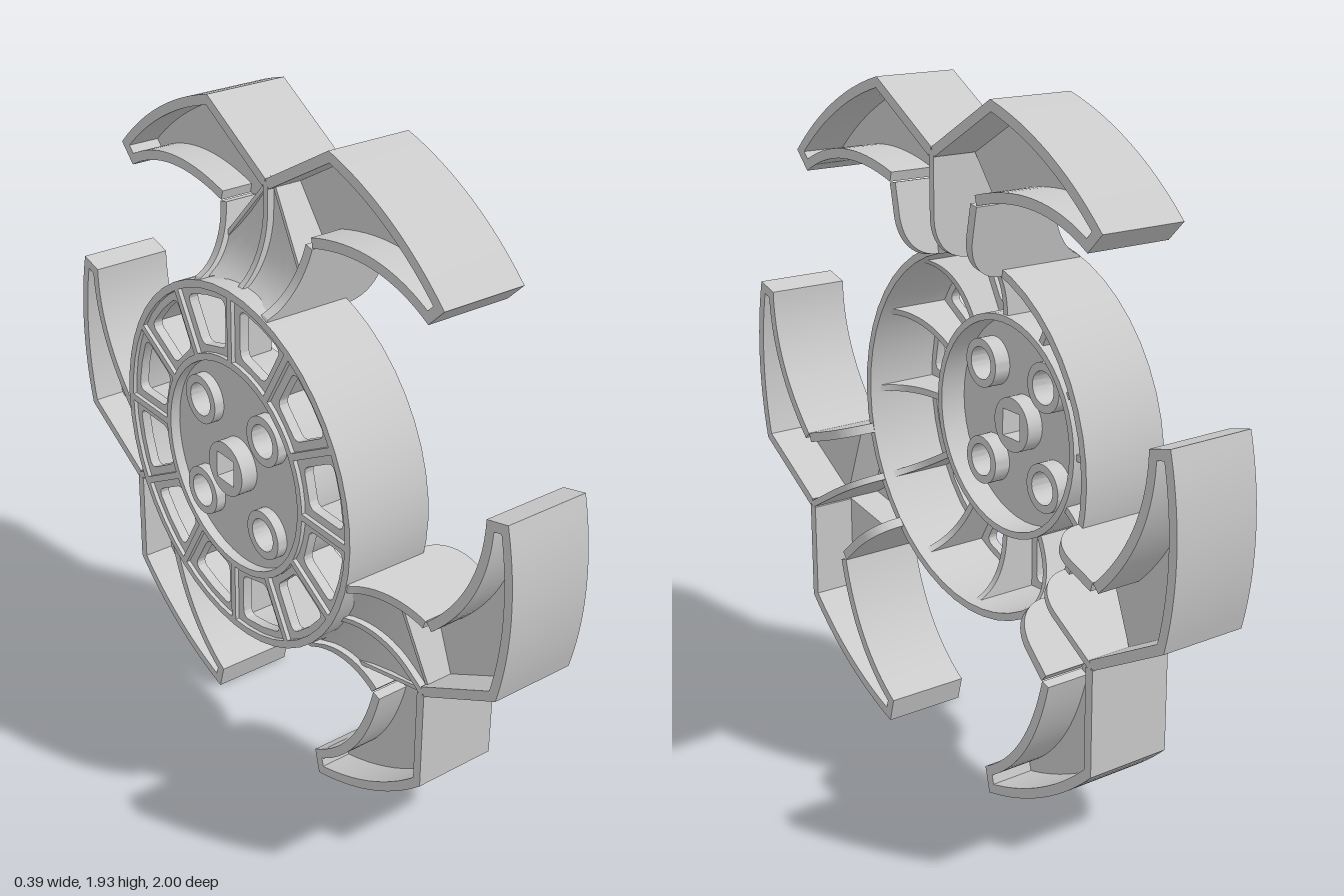
import * as THREE from 'three';
import { toCreasedNormals } from 'three/addons/utils/BufferGeometryUtils.js';

const material = new THREE.MeshStandardMaterial({ color: 0xcccccc });
const openMaterial = new THREE.MeshStandardMaterial({ color: 0xcccccc, side: THREE.DoubleSide });
const V = (x, y) => new THREE.Vector2(x, y);
const polar = (r, a) => V(r * Math.cos(a), r * Math.sin(a));
const T = 0.028; // wall thickness

function add(parent, name, geometry, mat = material) {
  const mesh = new THREE.Mesh(toCreasedNormals(geometry, 0.5), mat);
  mesh.name = name;
  parent.add(mesh);
  return mesh;
}

// Flat shape in the wheel plane, extruded along the axle from z0 to z1
function slab(shape, z0, z1) {
  return new THREE.ExtrudeGeometry(shape, { depth: z1 - z0, bevelEnabled: false, curveSegments: 24 }).translate(0, 0, z0);
}

function disc(r, holes = []) {
  const s = new THREE.Shape().absarc(0, 0, r, 0, Math.PI * 2, false);
  s.holes.push(...holes);
  return s;
}

const circle = (r, x = 0, y = 0) => new THREE.Path().absarc(x, y, r, 0, Math.PI * 2, true);

// Upright plate: shape is (distance from p0 towards p1, height along the axle)
function plate(shape, p0, p1, t = T) {
  const d = p1.clone().sub(p0).normalize();
  const m = new THREE.Matrix4().makeBasis(
    new THREE.Vector3(d.x, d.y, 0), new THREE.Vector3(0, 0, 1), new THREE.Vector3(d.y, -d.x, 0));
  m.setPosition(p0.x, p0.y, 0);
  return slab(shape, -t / 2, t / 2).applyMatrix4(m);
}

// Offsets a polyline to its right with mitred corners
function offset(points, t) {
  return points.map((p, i) => {
    const a = points[Math.max(i - 1, 0)], b = points[Math.min(i + 1, points.length - 1)];
    const n1 = (i ? p.clone().sub(a) : b.clone().sub(p)).normalize();
    const n2 = (i < points.length - 1 ? b.clone().sub(p) : p.clone().sub(a)).normalize();
    const u = V(n1.y, -n1.x), w = V(n2.y, -n2.x);
    return p.clone().add(u.clone().add(w).multiplyScalar(t / (1 + u.dot(w))));
  });
}

// Half of a blade pair: apex, shoulder, outer arc, tip, hooked inner arc
function bladeOutline() {
  const pts = [V(0, 0.812)];
  for (let i = 0; i <= 12; i++) pts.push(polar(1, THREE.MathUtils.degToRad(74.8 - 29.8 * i / 12)));
  const inner = new THREE.QuadraticBezierCurve(V(0.653, 0.653), V(0.46, 0.765), V(0.203, 0.69));
  return pts.concat(inner.getPoints(16));
}

// Axle height of the flared blade root at a radius
function flare(r) {
  const k = THREE.MathUtils.clamp((0.73 - r) / 0.22, 0, 1);
  return -0.06 - 0.12 * (1 - Math.sqrt(1 - 0.96 * k * k)) / 0.8;
}

// Root wall profile: flared back edge, rounded front corner
function rootProfile(r0, length) {
  const s = new THREE.Shape();
  s.moveTo(0, flare(r0));
  for (let i = 1; i <= 16; i++) s.lineTo(length * i / 16, flare(r0 + length * i / 16));
  s.lineTo(length, 0.19);
  s.lineTo(0.12, 0.19);
  s.bezierCurveTo(0.05, 0.19, 0, 0.15, 0, 0.08);
  s.closePath();
  return s;
}

// Curved floor between the centre rib and a side wall
function rootFloor(side) {
  const pos = [], idx = [], N = 16, M = 4;
  for (let i = 0; i <= N; i++) for (let j = 0; j <= M; j++) {
    const u = j / M, k = i / N;
    const bottom = V(0.16 * u, 0.52 - 0.025 * u), top = V(0.177 * u, 0.812 - 0.221 * u);
    const p = bottom.lerp(top, k);
    pos.push(side * p.x, p.y, flare(p.y) + 0.02);
    if (i < N && j < M) {
      const a = i * (M + 1) + j, b = a + M + 1;
      if (side > 0) idx.push(a, a + 1, b, a + 1, b + 1, b);
      else idx.push(a, b, a + 1, a + 1, b, b + 1);
    }
  }
  const g = new THREE.BufferGeometry();
  g.setAttribute('position', new THREE.Float32BufferAttribute(pos, 3));
  g.setIndex(idx);
  g.computeVertexNormals();
  return g;
}

function bladePair() {
  const pair = new THREE.Group();
  pair.name = 'bladePair';
  for (const side of [1, -1]) {
    const flip = p => V(side * p.x, p.y);
    const outline = bladeOutline();
    const rim = outline.concat(offset(outline, T).reverse());
    add(pair, 'bladeRim', slab(new THREE.Shape(rim.map(flip)), -0.06, 0.19));
    const web = outline.concat([V(0.177, 0.591)]);
    add(pair, 'bladeWeb', slab(new THREE.Shape(offset(web, 0.005).map(flip)), 0.035, 0.06));
    // side wall running down to the ring
    const p0 = V(0.148, 0.487), p1 = V(0.19, 0.69);
    add(pair, 'rootWall', plate(rootProfile(0.487, p0.distanceTo(p1)), flip(p0), flip(p1)));
    add(pair, 'rootFloor', rootFloor(side), openMaterial);
    // step between the root floor and the blade web
    const a = V(0, 0.812), b = V(0.177, 0.591), len = a.distanceTo(b);
    const step = new THREE.Shape([V(0, -0.04), V(len, flare(0.591) + 0.02), V(len, 0.06), V(0, 0.06)]);
    add(pair, 'rootStep', plate(step, flip(a), flip(b), 0.012));
  }
  add(pair, 'centreRib', plate(rootProfile(0.51, 0.295), V(0, 0.51), V(0, 0.805), 0.02));
  return pair;
}

// Rounded ring-sector window between two spokes
function windowHole(mid) {
  const r0 = 0.345, r1 = 0.487, c = 0.025, gap = 0.034;
  const at = (r, s, inset = 0) => polar(r, mid + s * (Math.PI / 12 - (gap + inset) / r));
  const p = new THREE.Path();
  const start = at(r0, -1, c);
  p.moveTo(start.x, start.y);
  const line = q => p.lineTo(q.x, q.y);
  const round = (q, e) => p.quadraticCurveTo(q.x, q.y, e.x, e.y);
  line(at(r0, 1, c));
  round(at(r0, 1), at(r0 + c, 1));
  line(at(r1 - c, 1));
  round(at(r1, 1), at(r1, 1, c));
  line(polar(r1, mid));
  line(at(r1, -1, c));
  round(at(r1, -1), at(r1 - c, -1));
  line(at(r0 + c, -1));
  round(at(r0, -1), start);
  return p;
}

function hub() {
  const g = new THREE.Group();
  g.name = 'hub';
  add(g, 'outerRing', slab(disc(0.53, [circle(0.508)]), -0.18, 0.08));
  add(g, 'innerRing', slab(disc(0.325, [circle(0.305)]), -0.18, -0.04));

  // ring plate with twelve windows, and a curved fin on each spoke
  const holes = [circle(0.31)];
  const fin = new THREE.Shape();
  fin.moveTo(0, -0.18);
  fin.lineTo(0.205, -0.18);
  fin.lineTo(0.205, 0.07);
  fin.quadraticCurveTo(0.18, -0.05, 0, -0.05);
  for (let i = 0; i < 12; i++) {
    const a = i * Math.PI / 6;
    holes.push(windowHole(a + Math.PI / 12));
    add(g, 'spokeFin', plate(fin, polar(0.31, a), polar(0.52, a), 0.02));
  }
  add(g, 'windowPlate', slab(disc(0.515, holes), -0.168, -0.14));

  // centre disc with four bolt bosses and a square axle socket
  const square = () => new THREE.Path([V(-0.04, -0.04), V(-0.04, 0.04), V(0.04, 0.04), V(0.04, -0.04)]);
  const bolts = [0, 1, 2, 3].map(i => polar(0.208, Math.PI / 4 + i * Math.PI / 2));
  add(g, 'centreDisc', slab(disc(0.31, [square(), ...bolts.map(b => circle(0.048, b.x, b.y))]), -0.15, -0.12));
  add(g, 'axleBoss', slab(disc(0.08, [square()]), -0.2, -0.07));
  for (const b of bolts) {
    add(g, 'boltBoss', slab(disc(0.072, [circle(0.048)]), -0.18, -0.07)).position.set(b.x, b.y, 0);
  }
  return g;
}

export function createModel() {
  const model = new THREE.Group();
  model.name = 'bladedWheel';
  const wheel = new THREE.Group();
  wheel.name = 'wheel';
  wheel.add(hub());
  for (let i = 0; i < 3; i++) {
    const pair = bladePair();
    pair.rotation.z = i * Math.PI * 2 / 3;
    wheel.add(pair);
  }
  // axle along x
  wheel.rotation.y = Math.PI / 2;
  wheel.position.y = 0.966;
  model.add(wheel);
  return model;
}
